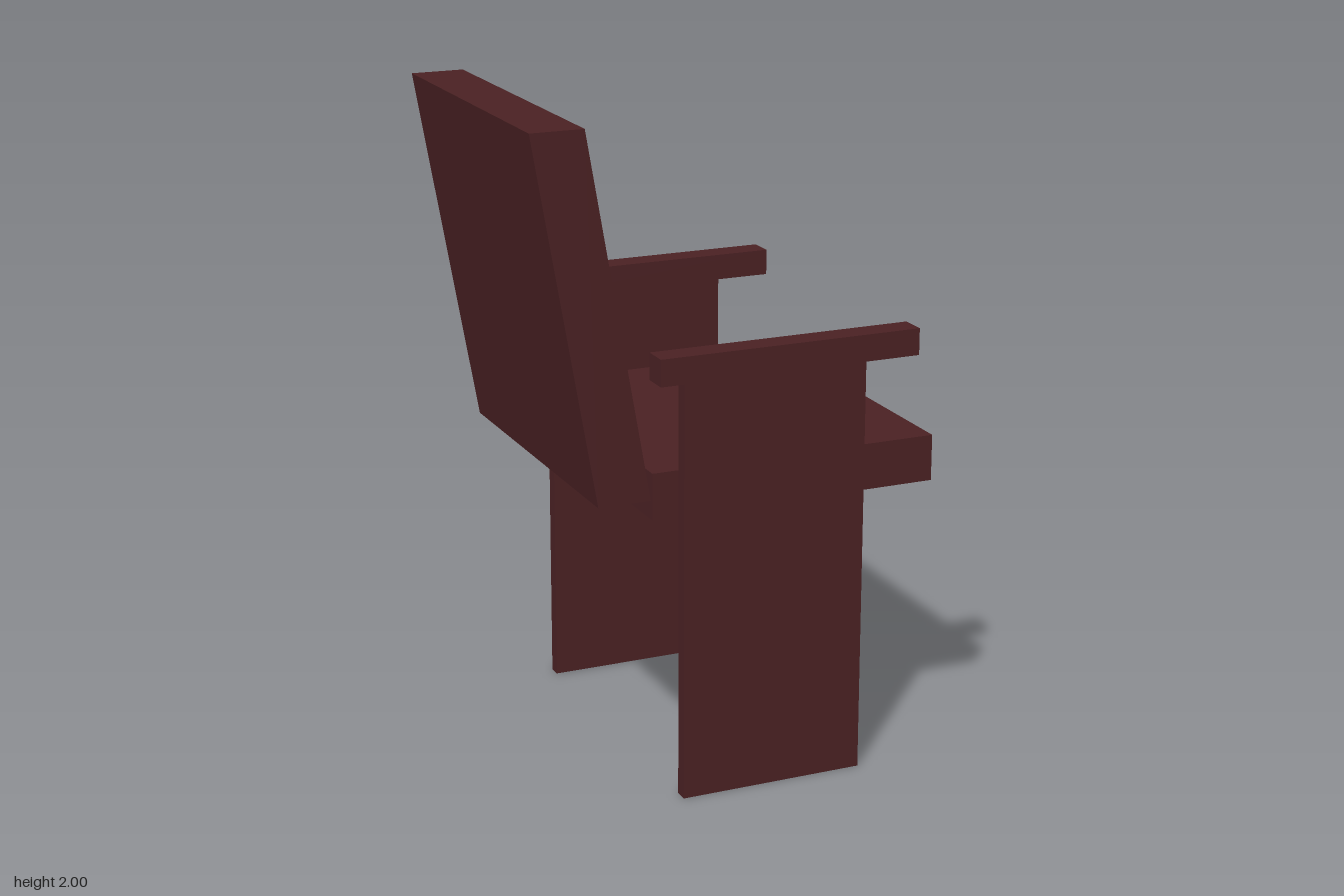
import * as THREE from 'three';

export function createModel() {
  const chair = new THREE.Group();
  chair.name = 'armchair';
  const darkWood = new THREE.MeshStandardMaterial({ color: 0x4a2123 });
  darkWood.name = 'darkWood';

  const add = (name, geometry) => {
    const mesh = new THREE.Mesh(geometry, darkWood);
    mesh.name = name;
    chair.add(mesh);
    return mesh;
  };

  // Box given by its lower and upper corner
  const board = (name, [x0, y0, z0], [x1, y1, z1]) =>
    add(name, new THREE.BoxGeometry(x1 - x0, y1 - y0, z1 - z0))
      .position.set((x0 + x1) / 2, (y0 + y1) / 2, (z0 + z1) / 2);

  // Seat slab
  board('seat', [-0.27, 0.86, -0.49], [0.625, 1.0, 0.49]);

  // Leaning backrest with level top and bottom ends
  const profile = new THREE.Shape([
    new THREE.Vector2(-0.435, 0.92),
    new THREE.Vector2(-0.275, 0.92),
    new THREE.Vector2(-0.465, 2),
    new THREE.Vector2(-0.625, 2),
  ]);
  const back = new THREE.ExtrudeGeometry(profile, { depth: 0.98, bevelEnabled: false });
  back.translate(0, 0, -0.49);
  add('backrest', back);

  // Side panels that serve as legs, each capped by an armrest
  for (const [side, s] of [['front', 1], ['rear', -1]]) {
    const span = (a, b) => (s > 0 ? [a, b] : [-b, -a]);
    const [p0, p1] = span(0.49, 0.53);
    board(side + 'SidePanel', [-0.19, 0, p0], [0.38, 1.27, p1]);
    const [a0, a1] = span(0.47, 0.55);
    board(side + 'Armrest', [-0.27, 1.27, a0], [0.54, 1.35, a1]);
  }
  return chair;
}
